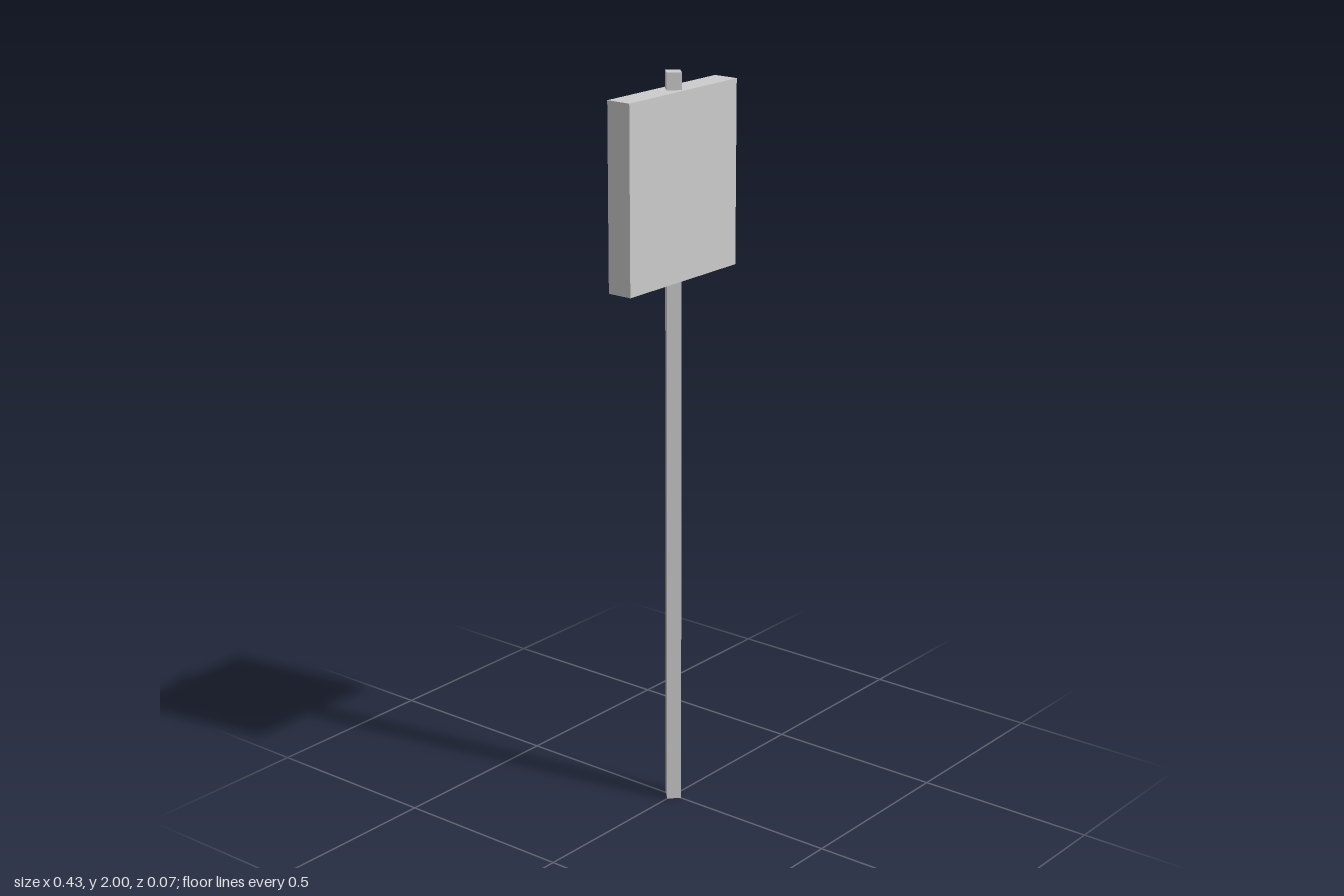
import * as THREE from 'three';

export function createModel() {
  const group = new THREE.Group();
  const paleGrey = new THREE.MeshStandardMaterial({ color: 0xcccccc, flatShading: true });
  paleGrey.name = 'paleGrey';

  // Square post, turned so its corners face front and sides
  const post = new THREE.Mesh(new THREE.CylinderGeometry(0.027, 0.027, 2, 4), paleGrey);
  post.name = 'post';
  post.position.y = 1;

  // Thick rectangular board near the top of the post
  const board = new THREE.Mesh(new THREE.BoxGeometry(0.43, 0.49, 0.07), paleGrey);
  board.name = 'signBoard';
  board.position.y = 1.71;

  group.add(post, board);
  return group;
}
